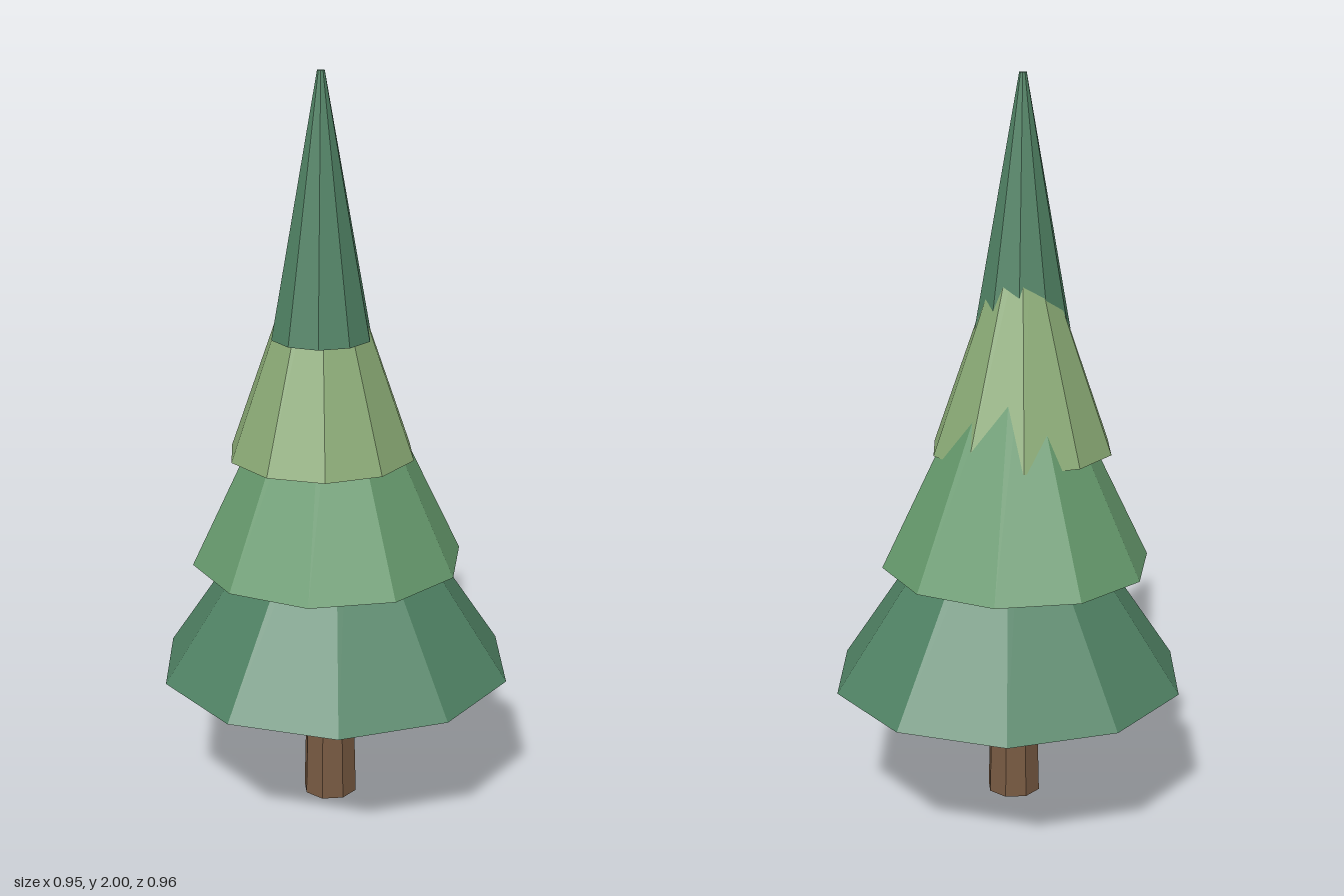
import * as THREE from 'three';

// Faceted, tapered section standing at y0, with its own off-axis centre and twist
function frustum(name, { x, z, y0, y1, r0, r1, sides, twist, color }) {
  const height = y1 - y0;
  const geometry = new THREE.CylinderGeometry(r1, r0, height, sides);
  const material = new THREE.MeshStandardMaterial({ color, flatShading: true });
  const mesh = new THREE.Mesh(geometry, material);
  mesh.name = name;
  mesh.position.set(x, y0 + height / 2, z);
  mesh.rotation.y = THREE.MathUtils.degToRad(twist);
  return mesh;
}

export function createModel() {
  const tree = new THREE.Group();
  tree.name = 'pineTree';

  // Trunk, running up into the lowest tier
  tree.add(frustum('trunk', {
    x: -0.035, z: 0.034, y0: 0, y1: 0.5, r0: 0.075, r1: 0.062, sides: 8, twist: 0, color: 0x785a42,
  }));

  // Foliage tiers, each one overlapping the tier below
  const tiers = [
    { name: 'lowerFoliage', x: 0, z: 0, y0: 0.37, y1: 1.0, r0: 0.484, r1: 0.062, twist: 8.5, color: 0x508264 },
    { name: 'middleFoliage', x: -0.03, z: 0.012, y0: 0.69, y1: 1.35, r0: 0.367, r1: 0.05, twist: 0, color: 0x669a6d },
    { name: 'upperFoliage', x: -0.063, z: 0.042, y0: 1.0, y1: 1.6, r0: 0.25, r1: 0.037, twist: 9.8, color: 0x8aaa75 },
    { name: 'topFoliage', x: -0.072, z: 0.058, y0: 1.32, y1: 2.0, r0: 0.133, r1: 0.01, twist: 4.5, color: 0x508264 },
  ];
  for (const { name, ...tier } of tiers) tree.add(frustum(name, { ...tier, sides: 10 }));

  return tree;
}
